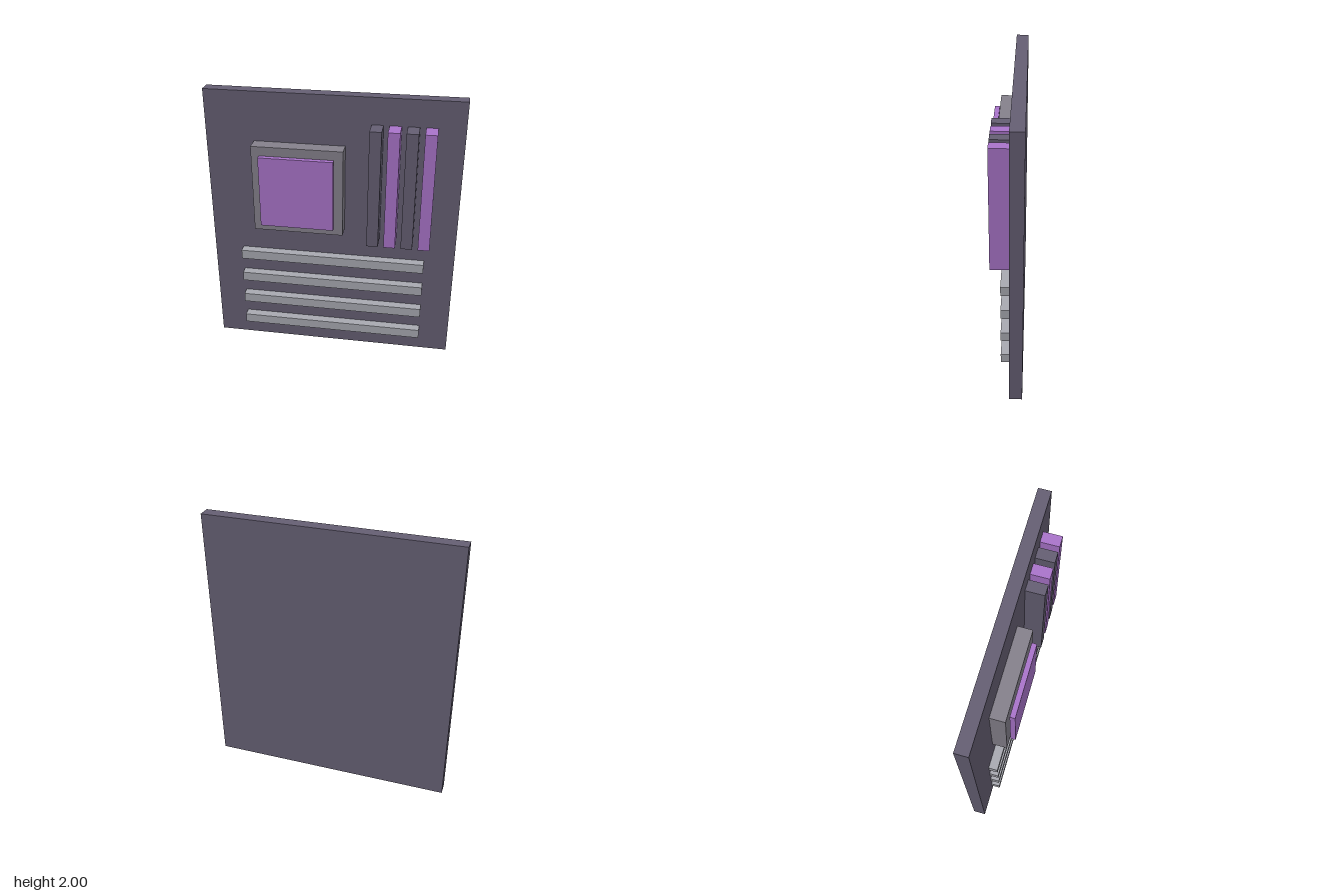
import * as THREE from 'three';

const flat = (name, color) => {
  const m = new THREE.MeshStandardMaterial({ color });
  m.name = name;
  return m;
};

// Box given by its min and max corners
function block(name, material, [x0, y0, z0], [x1, y1, z1]) {
  const mesh = new THREE.Mesh(new THREE.BoxGeometry(x1 - x0, y1 - y0, z1 - z0), material);
  mesh.name = name;
  mesh.position.set((x0 + x1) / 2, (y0 + y1) / 2, (z0 + z1) / 2);
  return mesh;
}

export function createModel() {
  const slate = flat('slate', 0x655f73);
  const purple = flat('purple', 0xa974ca);
  const grey = flat('socketGrey', 0x85818c);
  const silver = flat('silver', 0xa8a9b1);

  const group = new THREE.Group();
  group.name = 'circuitBoard';
  const face = -0.03; // front surface of the board

  group.add(block('board', slate, [-0.893, 0, -0.12], [0.893, 2, face]));

  // Processor socket, with the chip lid just clear of it
  group.add(block('socket', grey, [-0.55, 1.005, face], [0.09, 1.645, 0.075]));
  group.add(block('chip', purple, [-0.492, 1.063, 0.084], [0.028, 1.583, 0.12]));

  // Memory sticks in alternating colours
  for (let i = 0; i < 4; i++) {
    const x = 0.265 + i * 0.121;
    group.add(block(`memoryStick${i + 1}`, i % 2 ? purple : slate, [x, 0.95, face], [x + 0.081, 1.81, 0.102]));
  }

  // Expansion slots
  for (let i = 0; i < 4; i++) {
    const y = 0.136 + i * 0.194;
    group.add(block(`expansionSlot${i + 1}`, silver, [-0.676, y, face], [0.676, y + 0.07, 0.035]));
  }

  return group;
}
